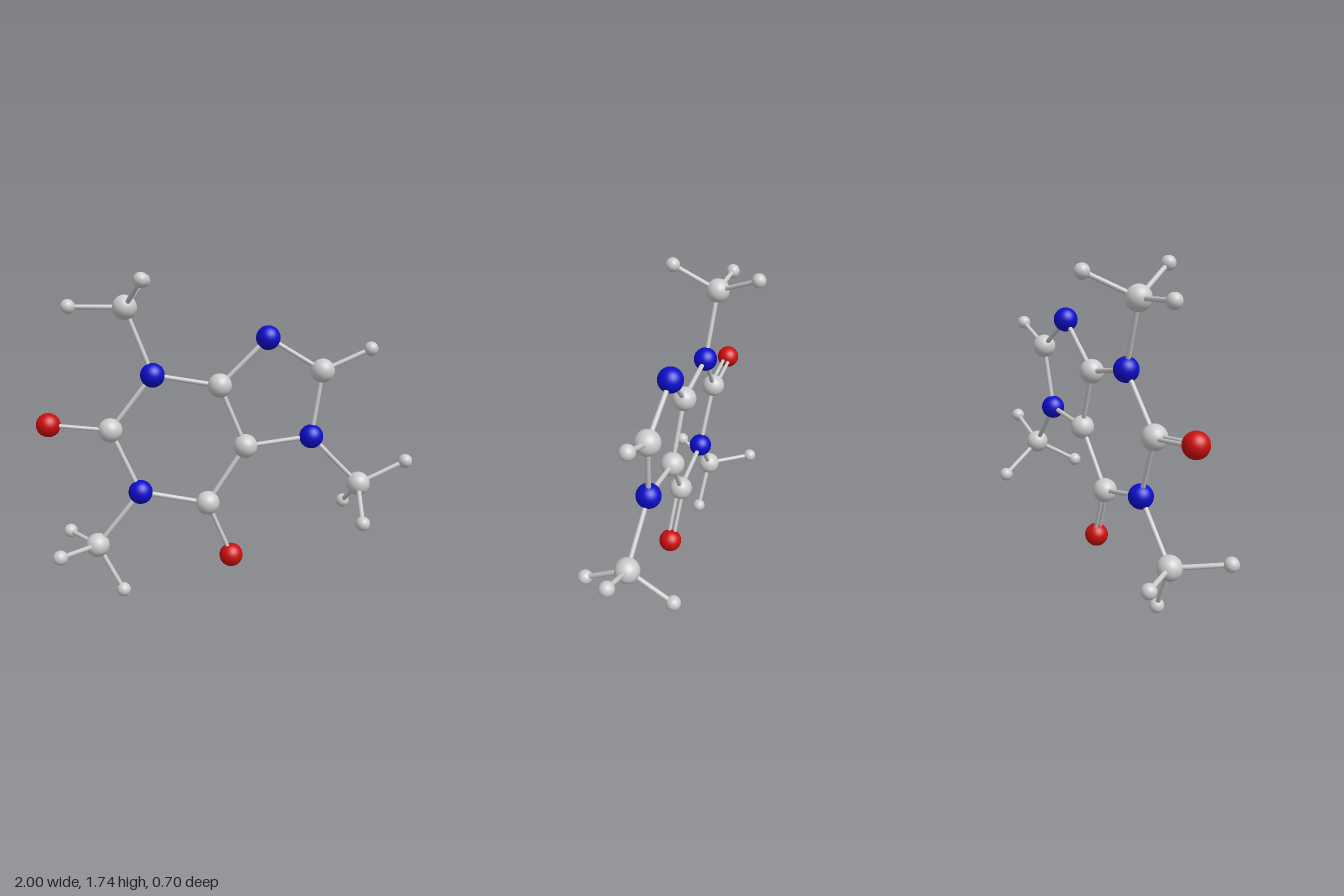
import * as THREE from 'three';

const UP = new THREE.Vector3(0, 1, 0);

// Atom kinds: radius and colour
const KINDS = {
  carbon: { radius: 0.064, color: 0xcccccc },
  nitrogen: { radius: 0.064, color: 0x0d0dcc },
  oxygen: { radius: 0.063, color: 0xcc0d0d },
  hydrogen: { radius: 0.038, color: 0xcccccc },
};

// Atoms: kind and centre
const ATOMS = {
  // Six-sided ring
  n1: ['nitrogen', -0.393, 1.203, -0.05],
  c2: ['carbon', -0.62, 0.917, -0.05],
  n3: ['nitrogen', -0.473, 0.583, -0.012],
  c4: ['carbon', -0.118, 0.513, 0.018],
  c5: ['carbon', 0.088, 0.818, 0.01],
  c6: ['carbon', -0.045, 1.144, -0.018],
  // Five-sided ring
  n7: ['nitrogen', 0.211, 1.39, -0.016],
  c8: ['carbon', 0.5, 1.214, 0.016],
  n9: ['nitrogen', 0.441, 0.864, 0.036],
  h8: ['hydrogen', 0.757, 1.326, 0.027],
  // Oxygens
  o2: ['oxygen', -0.937, 0.952, -0.073],
  o4: ['oxygen', 0.005, 0.219, 0.048],
  // Upper methyl
  m1: ['carbon', -0.525, 1.551, -0.081],
  m1a: ['hydrogen', -0.81, 1.556, -0.106],
  m1b: ['hydrogen', -0.45, 1.7, 0.148],
  m1c: ['hydrogen', -0.414, 1.671, -0.315],
  // Lower methyl
  m3: ['carbon', -0.71, 0.294, -0.017],
  m3a: ['hydrogen', -0.58, 0.041, 0.015],
  m3b: ['hydrogen', -0.895, 0.325, 0.206],
  m3c: ['hydrogen', -0.86, 0.295, -0.254],
  // Side methyl
  m9: ['carbon', 0.7, 0.598, 0.073],
  m9a: ['hydrogen', 0.959, 0.716, 0.082],
  m9b: ['hydrogen', 0.653, 0.457, 0.314],
  m9c: ['hydrogen', 0.687, 0.426, -0.152],
};

const SINGLE = [
  'n1 c2', 'c2 n3', 'n3 c4', 'c4 c5', 'c5 c6', 'c6 n1',
  'c6 n7', 'n7 c8', 'c8 n9', 'n9 c5', 'c8 h8',
  'n1 m1', 'n3 m3', 'n9 m9',
];
for (const m of ['m1', 'm3', 'm9']) for (const s of 'abc') SINGLE.push(`${m} ${m}${s}`);
const DOUBLE = ['c2 o2', 'c4 o4'];

const centre = (id) => new THREE.Vector3(...ATOMS[id].slice(1));

// Rod between two points
function rod(a, b, radius, material) {
  const dir = b.clone().sub(a);
  const mesh = new THREE.Mesh(
    new THREE.CylinderGeometry(radius, radius, dir.length(), 16), material);
  mesh.position.copy(a).add(b).multiplyScalar(0.5);
  mesh.quaternion.setFromUnitVectors(UP, dir.normalize());
  return mesh;
}

export function createModel() {
  const model = new THREE.Group();
  model.name = 'molecule';
  const atoms = new THREE.Group();
  atoms.name = 'atoms';
  const bonds = new THREE.Group();
  bonds.name = 'bonds';
  model.add(atoms, bonds);

  // One shared ball and material per kind
  const balls = {};
  for (const [kind, { radius, color }] of Object.entries(KINDS)) {
    balls[kind] = {
      geometry: new THREE.SphereGeometry(radius, 32, 20),
      material: new THREE.MeshStandardMaterial({ color }),
    };
  }
  for (const id of Object.keys(ATOMS)) {
    const kind = ATOMS[id][0];
    const ball = new THREE.Mesh(balls[kind].geometry, balls[kind].material);
    ball.name = `${kind}Atom`;
    ball.position.copy(centre(id));
    atoms.add(ball);
  }

  const grey = new THREE.MeshStandardMaterial({ color: 0xcccccc });

  // Single bonds
  for (const pair of SINGLE) {
    const [a, b] = pair.split(' ').map(centre);
    const bond = rod(a, b, 0.0125, grey);
    bond.name = 'singleBond';
    bonds.add(bond);
  }

  // Double bonds: two thinner rods side by side, across the ring plane
  for (const pair of DOUBLE) {
    const [a, b] = pair.split(' ').map(centre);
    const along = b.clone().sub(a).normalize();
    const offset = new THREE.Vector3(0, 0.25, 1).projectOnPlane(along).setLength(0.015);
    const bond = new THREE.Group();
    bond.name = 'doubleBond';
    for (const side of [-1, 1]) {
      const half = rod(a, b, 0.0105, grey);
      half.name = 'doubleBondRod';
      half.position.addScaledVector(offset, side);
      bond.add(half);
    }
    bonds.add(bond);
  }
  return model;
}
